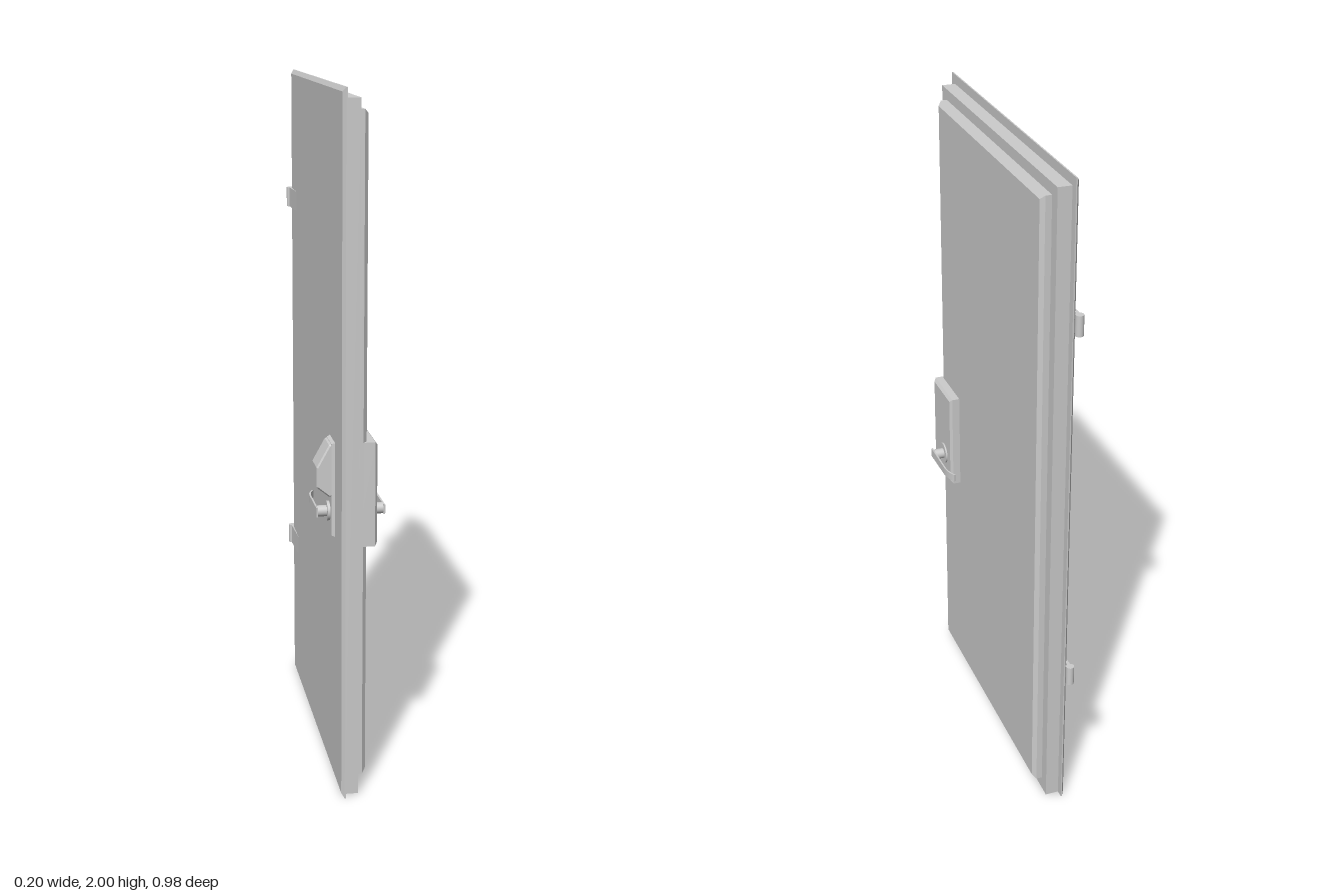
import * as THREE from 'three';

const mat = new THREE.MeshStandardMaterial({ color: 0xcccccc, side: THREE.DoubleSide });

function add(parent, name, geo) {
  const m = new THREE.Mesh(geo, mat);
  m.name = name;
  parent.add(m);
  return m;
}

// Slab across x; the face at x1 is inset by b on every side
function slab(x0, x1, y0, y1, z0, z1, b = 0) {
  const g = new THREE.BoxGeometry(1, 1, 1);
  const p = g.attributes.position;
  for (let i = 0; i < p.count; i++) {
    const far = p.getX(i) > 0, d = far ? b : 0;
    p.setXYZ(i, far ? x1 : x0,
      p.getY(i) > 0 ? y1 - d : y0 + d,
      p.getZ(i) > 0 ? z1 - d : z0 + d);
  }
  // keep winding outward when the slab grows towards -x
  if (x1 < x0) {
    const a = g.index.array;
    for (let i = 0; i < a.length; i += 3) [a[i], a[i + 1]] = [a[i + 1], a[i]];
  }
  g.computeVertexNormals();
  return g;
}

function rod(x0, x1, r, y, z) {
  return new THREE.CylinderGeometry(r, r, Math.abs(x1 - x0), 28)
    .rotateZ(Math.PI / 2).translate((x0 + x1) / 2, y, z);
}

// Curved flat lever, outlined in plan and extruded upward; side is +1 or -1
function lever(side) {
  const s = new THREE.Shape();
  s.moveTo(0.094, 0.342);
  s.lineTo(0.099, 0.342);
  s.lineTo(0.099, 0.215);
  s.quadraticCurveTo(0.098, 0.185, 0.083, 0.16);
  s.lineTo(0.079, 0.162);
  s.quadraticCurveTo(0.094, 0.188, 0.094, 0.215);
  s.closePath();
  const g = new THREE.ExtrudeGeometry(s, { depth: 0.028, bevelEnabled: false, curveSegments: 10 });
  g.rotateX(Math.PI / 2);
  // taper the height a little towards the tip
  const p = g.attributes.position;
  for (let i = 0; i < p.count; i++) {
    const t = 0.8 + 0.2 * Math.min(1, (p.getZ(i) - 0.16) / 0.18);
    p.setY(i, 0.815 + (p.getY(i) + 0.014) * t);
  }
  if (side < 0) {
    for (let i = 0; i < p.count; i++) p.setX(i, -p.getX(i));
    for (let i = 0; i < p.count; i += 3) {
      const a = new THREE.Vector3().fromBufferAttribute(p, i);
      const b = new THREE.Vector3().fromBufferAttribute(p, i + 1);
      p.setXYZ(i, b.x, b.y, b.z);
      p.setXYZ(i + 1, a.x, a.y, a.z);
    }
  }
  g.computeVertexNormals();
  return g;
}

export function createModel() {
  const door = new THREE.Group();
  door.name = 'door';

  // Leaf: outer flange with chamfered rim, core, raised inner panel
  add(door, 'outerFlange', slab(-0.042, -0.05, 0, 2, -0.463, 0.49, 0.012));
  add(door, 'flangeRim', slab(-0.038, -0.042, 0, 2, -0.463, 0.49));
  add(door, 'core', slab(-0.04, 0.002, 0, 1.972, -0.44, 0.463));
  add(door, 'innerPanelBase', slab(0, 0.02, 0.04, 1.94, -0.405, 0.423));
  add(door, 'innerPanel', slab(0.02, 0.031, 0.04, 1.94, -0.405, 0.423, 0.012));

  // Lock case on the inner side
  add(door, 'lockCase', slab(0, 0.054, 0.735, 1.037, 0.258, 0.423));
  add(door, 'lockCaseCover', slab(0.054, 0.061, 0.735, 1.037, 0.258, 0.423, 0.009));

  // Inner handle
  const inner = new THREE.Group();
  inner.name = 'innerHandle';
  add(inner, 'rose', rod(0.06, 0.066, 0.033, 0.815, 0.326));
  add(inner, 'spindle', rod(0.064, 0.096, 0.016, 0.815, 0.325));
  add(inner, 'lever', lever(1));
  door.add(inner);

  // Outer handle with back plate
  const outer = new THREE.Group();
  outer.name = 'outerHandle';
  add(outer, 'backPlate', slab(-0.049, -0.06, 0.75, 1.025, 0.28, 0.37, 0.004));
  add(outer, 'rose', rod(-0.068, -0.058, 0.028, 0.815, 0.325));
  add(outer, 'spindle', rod(-0.096, -0.06, 0.016, 0.815, 0.325));
  add(outer, 'lever', lever(-1));
  door.add(outer);

  // Sloped lock hood above the outer lever
  const hood = new THREE.Shape([
    [-0.055, 1.018], [-0.063, 1.014], [-0.097, 0.952], [-0.097, 0.897], [-0.065, 0.871], [-0.055, 0.871],
  ].map(([x, y]) => new THREE.Vector2(x, y)));
  add(outer, 'lockHood', new THREE.ExtrudeGeometry(hood, {
    depth: 0.074, bevelThickness: 0.005, bevelSize: 0.004, bevelSegments: 1,
  }).translate(0, 0, 0.286));

  // Hinges: knuckle plus a leaf that thins out along the outer face
  for (const y of [0.476, 1.604]) {
    const hinge = new THREE.Group();
    hinge.name = 'hinge';
    add(hinge, 'knuckle', new THREE.CylinderGeometry(0.012, 0.012, 0.06, 24).translate(-0.051, y, -0.478));
    const leaf = new THREE.Shape([
      [-0.056, -0.478], [-0.046, -0.478], [-0.046, -0.35], [-0.0505, -0.35], [-0.054, -0.44],
    ].map(([x, z]) => new THREE.Vector2(x, -z)));
    add(hinge, 'leaf', new THREE.ExtrudeGeometry(leaf, { depth: 0.06, bevelEnabled: false })
      .rotateX(-Math.PI / 2).translate(0, y - 0.03, 0));
    door.add(hinge);
  }
  return door;
}
